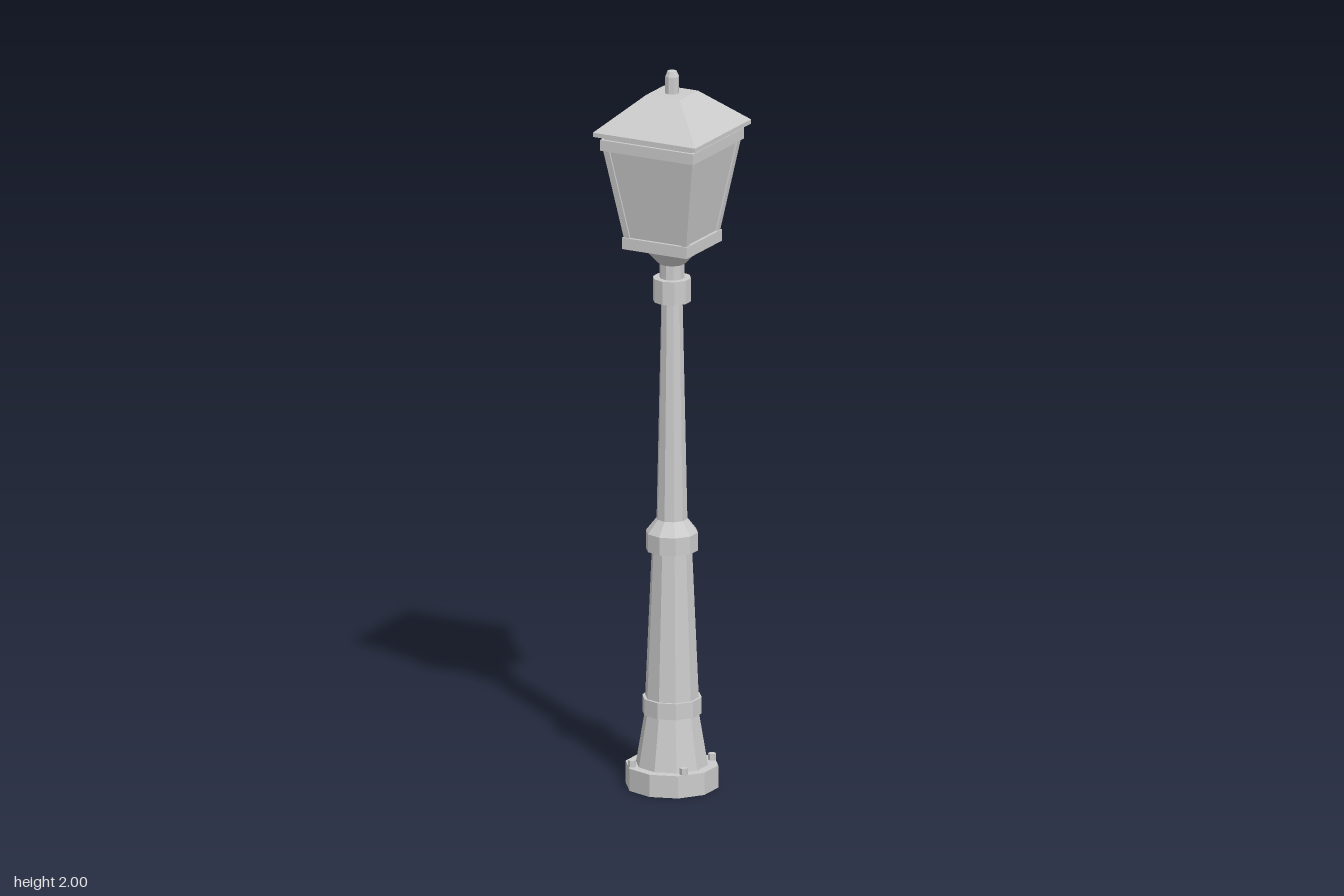
import * as THREE from 'three';

const material = new THREE.MeshStandardMaterial({ color: 0xcccccc, flatShading: true });

function add(parent, name, geometry) {
  const mesh = new THREE.Mesh(geometry, material);
  mesh.name = name;
  parent.add(mesh);
  return mesh;
}

// Tapered prism between two heights
function prism(parent, name, r0, r1, y0, y1, sides = 10) {
  const mesh = add(parent, name, new THREE.CylinderGeometry(r1, r0, y1 - y0, sides));
  mesh.position.y = (y0 + y1) / 2;
  return mesh;
}

// Square frustum given by its half widths
function square(parent, name, h0, h1, y0, y1) {
  const mesh = prism(parent, name, h0 * Math.SQRT2, h1 * Math.SQRT2, y0, y1, 4);
  mesh.rotation.y = Math.PI / 4;
  return mesh;
}

export function createModel() {
  const lamp = new THREE.Group();
  lamp.name = 'streetLamp';

  // Ten-sided pole, from the ground up
  const pole = new THREE.Group();
  pole.name = 'pole';
  lamp.add(pole);
  const sections = [
    ['base', 0.126, 0.126, 0, 0.062],
    ['plinth', 0.098, 0.073, 0.062, 0.21],
    ['plinthCollar', 0.081, 0.081, 0.205, 0.25],
    ['lowerShaft', 0.073, 0.055, 0.25, 0.66],
    ['middleCollar', 0.071, 0.071, 0.66, 0.71],
    ['middleCollarSlope', 0.071, 0.042, 0.71, 0.747],
    ['upperShaft', 0.042, 0.029, 0.747, 1.355],
    ['upperCollar', 0.052, 0.052, 1.355, 1.42],
    ['neck', 0.034, 0.034, 1.42, 1.465],
    ['lanternSupport', 0.036, 0.083, 1.46, 1.51],
  ];
  for (const s of sections) prism(pole, ...s);

  // Anchor bolts and slim corner posts, mirrored to four corners
  const lantern = new THREE.Group();
  lantern.name = 'lantern';
  lamp.add(lantern);
  const y0 = 1.54, y1 = 1.79;
  for (const sx of [-1, 1]) {
    for (const sz of [-1, 1]) {
      const bolt = prism(pole, 'anchorBolt', 0.011, 0.011, 0.06, 0.08, 6);
      bolt.position.x = sx * 0.079;
      bolt.position.z = sz * 0.079;

      const geometry = new THREE.BoxGeometry(0.018, y1 - y0, 0.018);
      const p = geometry.attributes.position;
      for (let i = 0; i < p.count; i++) {
        const offset = p.getY(i) > 0 ? 0.127 : 0.086; // posts lean outwards
        p.setX(i, p.getX(i) + sx * offset);
        p.setZ(i, p.getZ(i) + sz * offset);
      }
      geometry.computeVertexNormals();
      add(lantern, 'cornerPost', geometry).position.y = (y0 + y1) / 2;
    }
  }

  // Square lantern
  square(lantern, 'tray', 0.099, 0.099, 1.51, 1.542);
  square(lantern, 'glass', 0.09, 0.131, y0, y1);
  square(lantern, 'topFrame', 0.142, 0.142, 1.79, 1.82);
  square(lantern, 'roofSeat', 0.134, 0.134, 1.82, 1.832);
  square(lantern, 'roofRim', 0.156, 0.156, 1.83, 1.842);
  square(lantern, 'roof', 0.156, 0.051, 1.842, 1.935);

  // Finial with a faceted tip
  const profile = [[0.019, 1.93], [0.019, 1.982], [0.013, 1.996], [0, 2]];
  add(lantern, 'finial', new THREE.LatheGeometry(profile.map(([r, y]) => new THREE.Vector2(r, y)), 8));

  return lamp;
}
